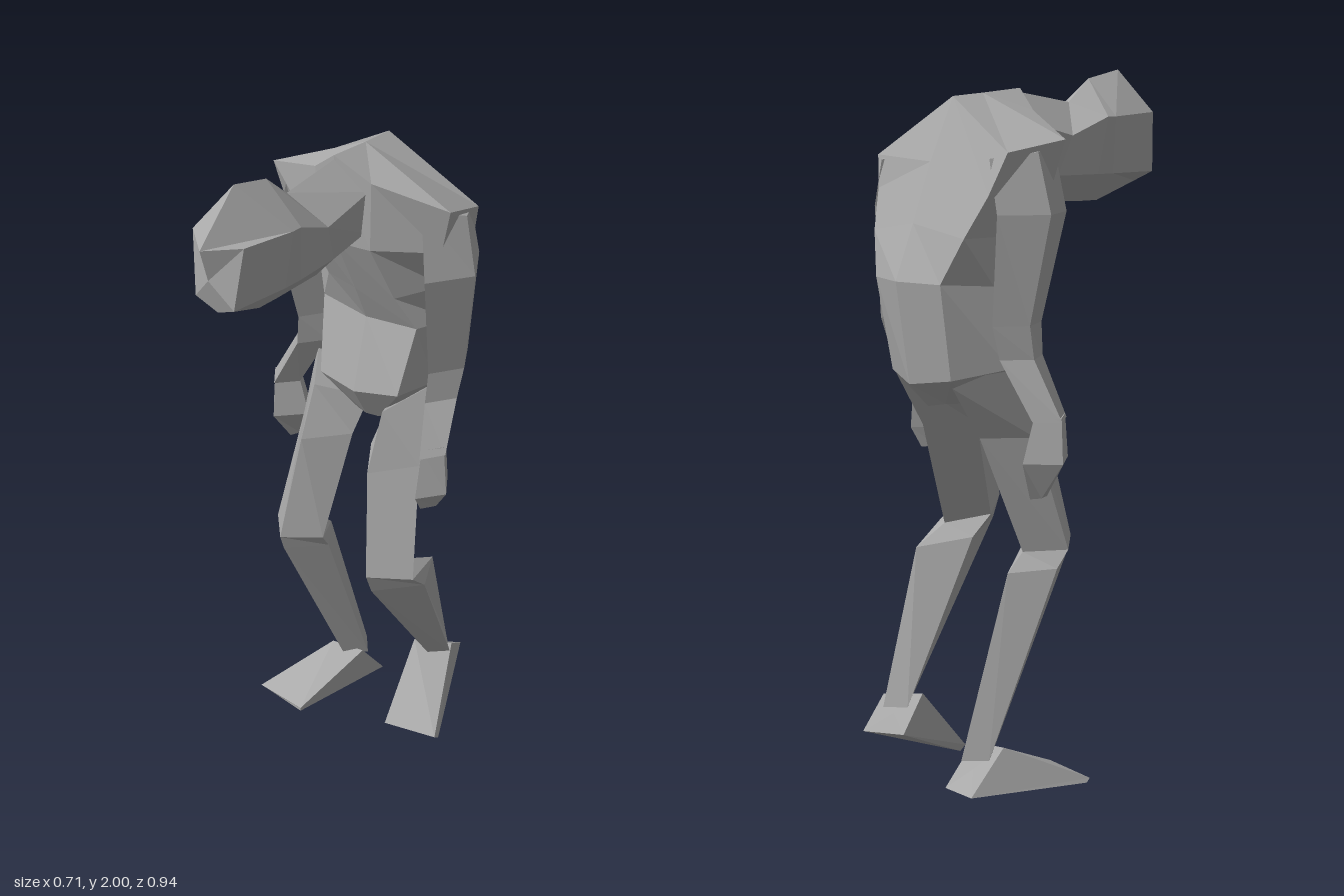
import * as THREE from 'three';

const skin = new THREE.MeshStandardMaterial({ color: 0xaaaaaa, flatShading: true });
skin.name = 'grey skin';

const centroid = ring => [0, 1, 2].map(k => ring.reduce((s, p) => s + p[k], 0) / ring.length);

// Faceted skin over cross-sections, closed at both ends and turned outwards;
// the first end is closed to a given peak
function loft(name, rings, peak = centroid(rings[0])) {
  const tris = [];
  const n = rings[0].length;
  const last = rings[rings.length - 1];
  const end = centroid(last);
  for (let i = 0; i < n; i++) {
    const j = (i + 1) % n;
    for (let r = 0; r < rings.length - 1; r++) {
      const a = rings[r][i], b = rings[r][j], c = rings[r + 1][j], d = rings[r + 1][i];
      tris.push([a, b, c], [a, c, d]);
    }
    tris.push([peak, rings[0][j], rings[0][i]], [end, last[i], last[j]]);
  }

  let volume = 0;
  const [A, B, C] = [new THREE.Vector3(), new THREE.Vector3(), new THREE.Vector3()];
  for (const t of tris) {
    volume += A.fromArray(t[0]).dot(B.fromArray(t[1]).cross(C.fromArray(t[2])));
  }
  if (volume < 0) tris.forEach(t => t.reverse());
  const geo = new THREE.BufferGeometry();
  geo.setAttribute('position', new THREE.Float32BufferAttribute(tris.flat(2), 3));
  geo.computeVertexNormals();
  const mesh = new THREE.Mesh(geo, skin);
  mesh.name = name;
  return mesh;
}

// Four-sided limb section with ridges at front, back and sides;
// tilt raises the front, lean raises the +x side
function section([x, y, z, halfX, halfZ, tilt = 0, lean = 0]) {
  return [[0, 1], [1, 0], [0, -1], [-1, 0]].map(([sx, sz]) =>
    [x + sx * halfX, y + sz * halfZ * tilt + sx * halfX * lean, z + sz * halfZ]);
}
const limb = (name, rows) => loft(name, rows.map(section));

// Head section: top, upper sides, lower sides, bottom, symmetric about the neck line
function headSection([topY, topZ, upW, upY, upZ, lowW, lowY, lowZ, botY, botZ]) {
  const x = 0.03;
  return [[x, topY, topZ], [x + upW, upY, upZ], [x + lowW, lowY, lowZ],
    [x, botY, botZ], [x - lowW, lowY, lowZ], [x - upW, upY, upZ]];
}

export function createModel() {
  const model = new THREE.Group();
  model.name = 'hunchedFigure';

  // Torso: each section runs front centre, left side, back, right side
  model.add(loft('torso', [
    [[0.03, 1.95, -0.02], [0.13, 1.89, -0.05], [0.31, 1.83, -0.15], [0.27, 1.77, -0.33],
      [0.01, 1.93, -0.27], [-0.24, 1.79, -0.29], [-0.26, 1.82, -0.11], [-0.05, 1.89, -0.04]],
    [[0.03, 1.70, -0.03], [0.13, 1.70, -0.05], [0.28, 1.70, -0.16], [0.25, 1.68, -0.345],
      [0.02, 1.76, -0.34], [-0.21, 1.68, -0.33], [-0.23, 1.70, -0.13], [-0.06, 1.70, -0.04]],
    [[0.04, 1.54, -0.10], [0.16, 1.54, -0.12], [0.25, 1.57, -0.22], [0.21, 1.57, -0.39],
      [0.02, 1.6, -0.40], [-0.17, 1.57, -0.38], [-0.18, 1.57, -0.2], [-0.07, 1.54, -0.12]],
    [[0.04, 1.43, -0.15], [0.20, 1.44, -0.17], [0.24, 1.44, -0.28], [0.15, 1.45, -0.43],
      [0.02, 1.45, -0.46], [-0.12, 1.45, -0.42], [-0.17, 1.44, -0.28], [-0.12, 1.44, -0.16]],
    [[0.04, 1.21, -0.10], [0.18, 1.24, -0.12], [0.21, 1.24, -0.25], [0.15, 1.19, -0.38],
      [0.02, 1.17, -0.42], [-0.11, 1.19, -0.38], [-0.20, 1.22, -0.25], [-0.09, 1.22, -0.11]],
    [[0.03, 1.10, -0.17], [0.07, 1.10, -0.18], [0.12, 1.11, -0.25], [0.08, 1.11, -0.33],
      [0.03, 1.10, -0.35], [-0.02, 1.11, -0.33], [-0.07, 1.11, -0.25], [-0.01, 1.10, -0.18]],
  ], [0.02, 1.938, -0.16]));

  // Head hanging forward on a thick neck
  model.add(loft('headAndNeck', [
    [1.87, 0.475, 0.085, 1.88, 0.41, 0.065, 1.71, 0.43, 1.68, 0.42],
    [2.0, 0.35, 0.1, 1.87, 0.25, 0.08, 1.71, 0.26, 1.63, 0.27],
    [1.975, 0.235, 0.1, 1.87, 0.22, 0.08, 1.71, 0.2, 1.63, 0.2],
    [1.91, 0.16, 0.085, 1.82, 0.1, 0.07, 1.71, 0.06, 1.635, 0.05],
    [1.94, -0.03, 0.085, 1.86, -0.06, 0.075, 1.74, -0.06, 1.71, -0.06],
  ].map(headSection), [0.03, 1.78, 0.45]));

  // Arms: broad shoulders, bent elbows, pointed hands
  model.add(limb('leftArm', [
    [0.24, 1.79, -0.23, 0.065, 0.11, 0.3],
    [0.27, 1.63, -0.225, 0.075, 0.12],
    [0.25, 1.32, -0.255, 0.055, 0.09],
    [0.25, 1.23, -0.235, 0.05, 0.08],
    [0.295, 1.1, -0.145, 0.04, 0.065],
  ]));
  model.add(limb('leftHand', [
    [0.29, 1.12, -0.15, 0.035, 0.055],
    [0.30, 0.98, -0.135, 0.052, 0.075],
    [0.29, 0.92, -0.14, 0.025, 0.04],
  ]));
  model.add(limb('rightArm', [
    [-0.19, 1.79, -0.2, 0.065, 0.11, 0.15],
    [-0.22, 1.63, -0.19, 0.075, 0.12],
    [-0.205, 1.34, -0.23, 0.052, 0.085],
    [-0.21, 1.25, -0.22, 0.052, 0.075],
    [-0.29, 1.09, -0.19, 0.05, 0.06],
  ]));
  model.add(limb('rightHand', [
    [-0.29, 1.1, -0.19, 0.048, 0.055],
    [-0.285, 0.98, -0.2, 0.07, 0.08],
    [-0.28, 0.88, -0.22, 0.012, 0.03],
  ]));

  // Bent legs, the left heel lifted
  model.add(limb('leftLeg', [
    [0.14, 1.18, -0.24, 0.08, 0.135, 0, 0.8],
    [0.155, 1.02, -0.15, 0.088, 0.125],
    [0.235, 0.72, -0.035, 0.087, 0.105, 0.25],
    [0.235, 0.66, -0.1, 0.082, 0.145, 0.15],
    [0.19, 0.2, -0.355, 0.05, 0.05],
  ]));
  model.add(limb('rightLeg', [
    [-0.11, 1.17, -0.24, 0.095, 0.135, 0, -0.7],
    [-0.1, 1.02, -0.155, 0.093, 0.12],
    [-0.12, 0.69, -0.05, 0.09, 0.09, 0.1],
    [-0.12, 0.64, -0.085, 0.083, 0.11, 0.1],
    [-0.08, 0.1, -0.275, 0.052, 0.058],
  ]));

  // Wedge feet: heel section, then toe edge
  model.add(loft('leftFoot', [
    [[0.14, 0.23, -0.30], [0.235, 0.22, -0.37], [0.20, 0.14, -0.47], [0.10, 0.14, -0.40]],
    [[0.17, 0.015, -0.12], [0.33, 0.015, -0.17], [0.33, 0, -0.19], [0.17, 0, -0.14]],
  ]));
  model.add(loft('rightFoot', [
    [[-0.13, 0.125, -0.22], [-0.03, 0.12, -0.25], [-0.015, 0, -0.34], [-0.12, 0, -0.33]],
    [[-0.25, 0.012, 0], [-0.08, 0.012, 0], [-0.08, 0, 0], [-0.25, 0, -0.01]],
  ]));

  return model;
}
